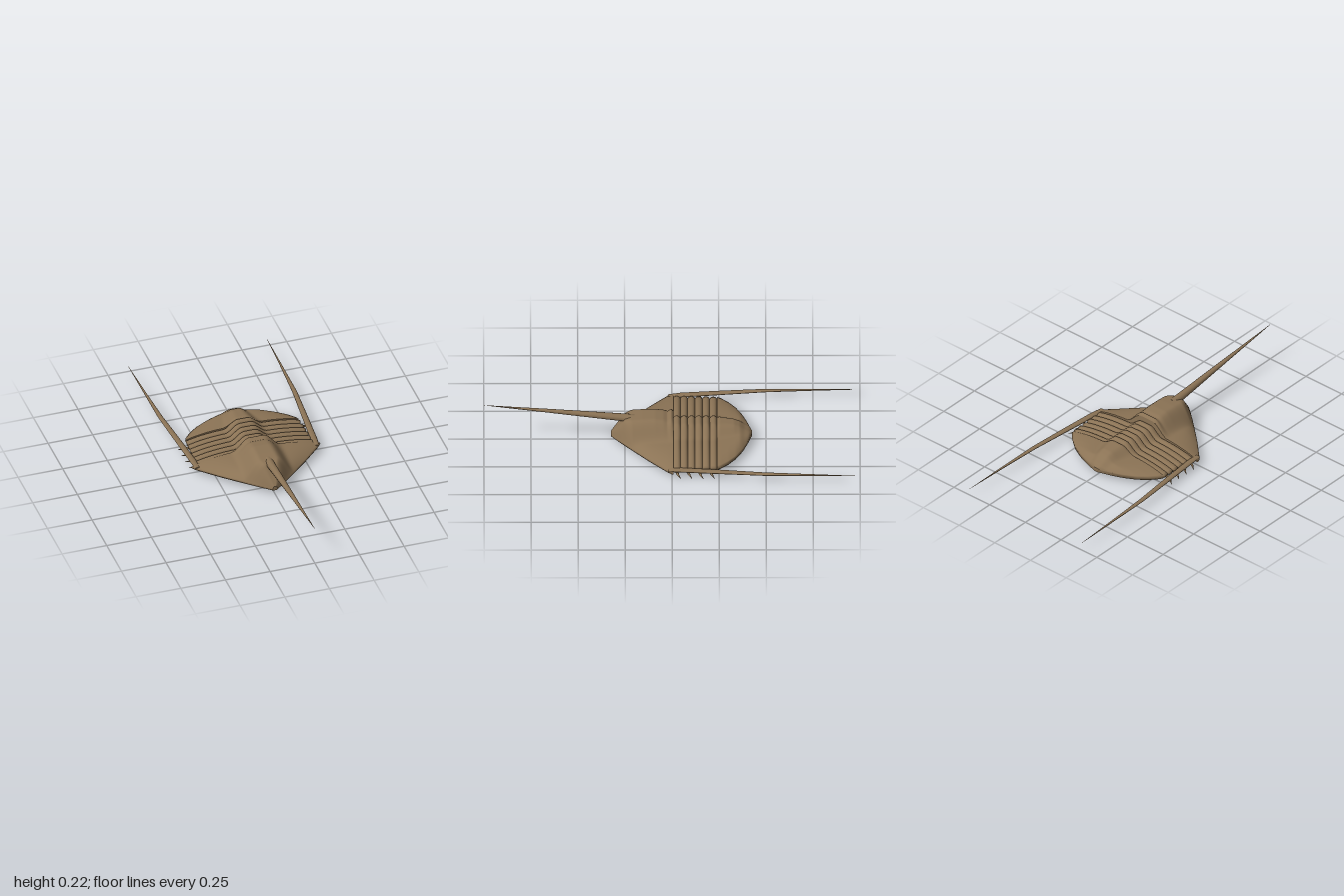
import * as THREE from 'three';

const shellBrown = new THREE.MeshStandardMaterial({ color: 0x8b7355 });
shellBrown.name = 'shellBrown';

const FLOOR = 0.025;

// Linear lookup in a short list of [input, output] pairs
function lookup(table, v) {
  if (v <= table[0][0]) return table[0][1];
  for (let i = 1; i < table.length; i++) {
    const [a, p] = table[i - 1], [b, q] = table[i];
    if (v <= b) return p + (q - p) * (v - a) / (b - a);
  }
  return table[table.length - 1][1];
}

// Closed skin through rings of points, with flat end caps
function loft(rings) {
  const n = rings[0].length, pos = [], idx = [];
  rings.forEach(r => r.forEach(p => pos.push(...p)));
  for (let i = 0; i < rings.length - 1; i++) {
    for (let j = 0; j < n; j++) {
      const k = (j + 1) % n;
      const a = i * n + j, b = i * n + k, c = b + n, d = a + n;
      idx.push(a, b, c, a, c, d);
    }
  }
  [[rings[0], true], [rings[rings.length - 1], false]].forEach(([ring, start]) => {
    const base = pos.length / 3, mid = [0, 1, 2].map(k => ring.reduce((s, p) => s + p[k], 0) / n);
    ring.forEach(p => pos.push(...p));
    pos.push(...mid);
    for (let j = 0; j < n; j++) {
      const k = (j + 1) % n;
      if (start) idx.push(base + n, base + k, base + j);
      else idx.push(base + n, base + j, base + k);
    }
  });
  const g = new THREE.BufferGeometry();
  g.setAttribute('position', new THREE.Float32BufferAttribute(pos, 3));
  g.setIndex(idx);
  g.computeVertexNormals();
  return g;
}

// Cross-section of the body at z: flat belly, thin rim, domed top
function bodyRing(z, w, top) {
  const ring = [], N = 48, M = 12;
  const belly = w - Math.min(0.006, w * 0.3);
  for (let i = 0; i <= M; i++) ring.push([(i / M * 2 - 1) * belly, FLOOR, z]);
  for (let i = 0; i <= N; i++) {
    const x = (1 - 2 * i / N) * w;
    ring.push([x, top(Math.abs(x), w), z]);
  }
  return ring;
}

// Raised middle lobe: 1 on the axis, falling to 0 at the furrow
const lobe = (x, inner, outer) => 1 - THREE.MathUtils.smoothstep(x, inner, outer);

// Tapered spike through points [x, y, z, half width, half height]
function spike(points, sides = 10) {
  const up = new THREE.Vector3(0, 1, 0);
  const v = points.map(p => new THREE.Vector3(p[0], p[1], p[2]));
  return loft(points.map((p, i) => {
    const d = v[Math.min(i + 1, v.length - 1)].clone().sub(v[Math.max(i - 1, 0)]).normalize();
    const s = up.clone().cross(d).normalize(), u = d.clone().cross(s);
    return Array.from({ length: sides }, (_, j) => {
      const a = j / sides * Math.PI * 2;
      return v[i].clone().addScaledVector(s, Math.cos(a) * p[3])
        .addScaledVector(u, Math.sin(a) * p[4]).toArray();
    });
  }));
}

// Head shield with a bulging centre, steep at the front
function headGeometry() {
  const width = [[0, 0.36], [0.02, 0.345], [0.06, 0.305], [0.12, 0.245], [0.18, 0.18],
    [0.23, 0.125], [0.27, 0.08], [0.3, 0.045], [0.325, 0.015]];
  const height = [[-0.008, 0.146], [0, 0.16], [0.012, 0.158], [0.022, 0.147], [0.045, 0.156],
    [0.09, 0.162], [0.16, 0.16], [0.22, 0.155], [0.25, 0.146], [0.325, 0.05]];
  const rings = [];
  for (let i = 0; i <= 44; i++) {
    const z = -0.008 + 0.333 * i / 44, peak = lookup(height, z);
    rings.push(bodyRing(z, lookup(width, z), (x, w) => {
      const cheek = 0.034 + Math.min(0.046, (peak - 0.034) * 0.6) * (1 - (x / w) ** 3);
      const outer = Math.min(0.14, w * 0.98);
      const b = lobe(x, outer * 0.3, outer);
      return cheek + (peak - cheek) * b;
    }));
  }
  return loft(rings);
}

// One overlapping body ring, arched from front to back
function segmentGeometry(zBack, zFront, w) {
  const rings = [];
  for (let i = 0; i <= 8; i++) {
    const t = i / 8, drop = 0.016 * Math.abs(2 * t - 1) ** 3;
    rings.push(bodyRing(zBack + (zFront - zBack) * t, w - drop * 0.4, (x, hw) => {
      const side = 0.044 + 0.032 * (1 - (x / hw) ** 3);
      return side + (0.125 - side) * lobe(x, 0.03, 0.11) - drop * (1 - 0.4 * x / hw);
    }));
  }
  return loft(rings);
}

// Tail shield, tapering to a blunt point
function tailGeometry() {
  const width = [[-0.425, 0.012], [-0.415, 0.045], [-0.4, 0.093], [-0.375, 0.157],
    [-0.34, 0.222], [-0.3, 0.272], [-0.26, 0.308], [-0.24, 0.318]];
  const height = [[-0.425, 0.05], [-0.41, 0.066], [-0.385, 0.08], [-0.36, 0.1],
    [-0.33, 0.112], [-0.25, 0.12], [-0.24, 0.112]];
  const rings = [];
  for (let i = 0; i <= 28; i++) {
    const z = -0.425 + 0.185 * i / 28, peak = lookup(height, z);
    const narrow = THREE.MathUtils.mapLinear(z, -0.425, -0.24, 0.05, 0.11);
    rings.push(bodyRing(z, lookup(width, z), (x, w) => {
      const side = 0.043 + Math.min(0.033, (peak - 0.043) * 0.6) * (1 - (x / w) ** 3);
      return side + (peak - side) * lobe(x, narrow * 0.25, Math.min(narrow, w * 0.98));
    }));
  }
  return loft(rings);
}

export function createModel() {
  const model = new THREE.Group();
  model.name = 'armouredSeaCreature';
  const add = (name, geometry) => {
    const mesh = new THREE.Mesh(geometry, shellBrown);
    mesh.name = name;
    model.add(mesh);
  };

  add('headShield', headGeometry());
  add('tailShield', tailGeometry());

  // Six body rings between head and tail
  const count = 6, pitch = 0.234 / count;
  for (let i = 0; i < count; i++) {
    const front = -0.006 - i * pitch;
    add('bodySegment' + (i + 1), segmentGeometry(front - pitch, front, 0.33 - i * 0.002));
  }

  // Long spine pointing forward from the head
  add('frontSpine', spike([
    [0, 0.137, 0.2, 0.024, 0.022],
    [0, 0.143, 0.26, 0.023, 0.021],
    [0, 0.184, 0.63, 0.012, 0.011],
    [0, 0.223, 1, 0.0006, 0.0006],
  ]));

  for (const side of [1, -1]) {
    const label = side > 0 ? 'left' : 'right';
    // Long cheek spines sweeping back
    add(label + 'CheekSpine', spike([
      [side * 0.332, 0.038, 0.02, 0.016, 0.006],
      [side * 0.338, 0.042, -0.05, 0.018, 0.009],
      [side * 0.357, 0.043, -0.27, 0.016, 0.008],
      [side * 0.376, 0.043, -0.49, 0.013, 0.006],
      [side * 0.384, 0.042, -0.75, 0.006, 0.004],
      [side * 0.39, 0.04, -1, 0.0005, 0.0005],
    ]));
    // Short curved spikes under the body edge
    for (let i = 0; i < 4; i++) {
      const z = -0.02 - i * 0.06;
      add(label + 'EdgeSpike' + (i + 1), spike([
        [side * 0.255, 0.019, z, 0.009, 0.007],
        [side * 0.3, 0.018, z - 0.002, 0.01, 0.007],
        [side * 0.335, 0.012, z - 0.01, 0.007, 0.005],
        [side * 0.362, 0.001, z - 0.027, 0.0008, 0.0008],
      ], 8));
    }
  }
  return model;
}
